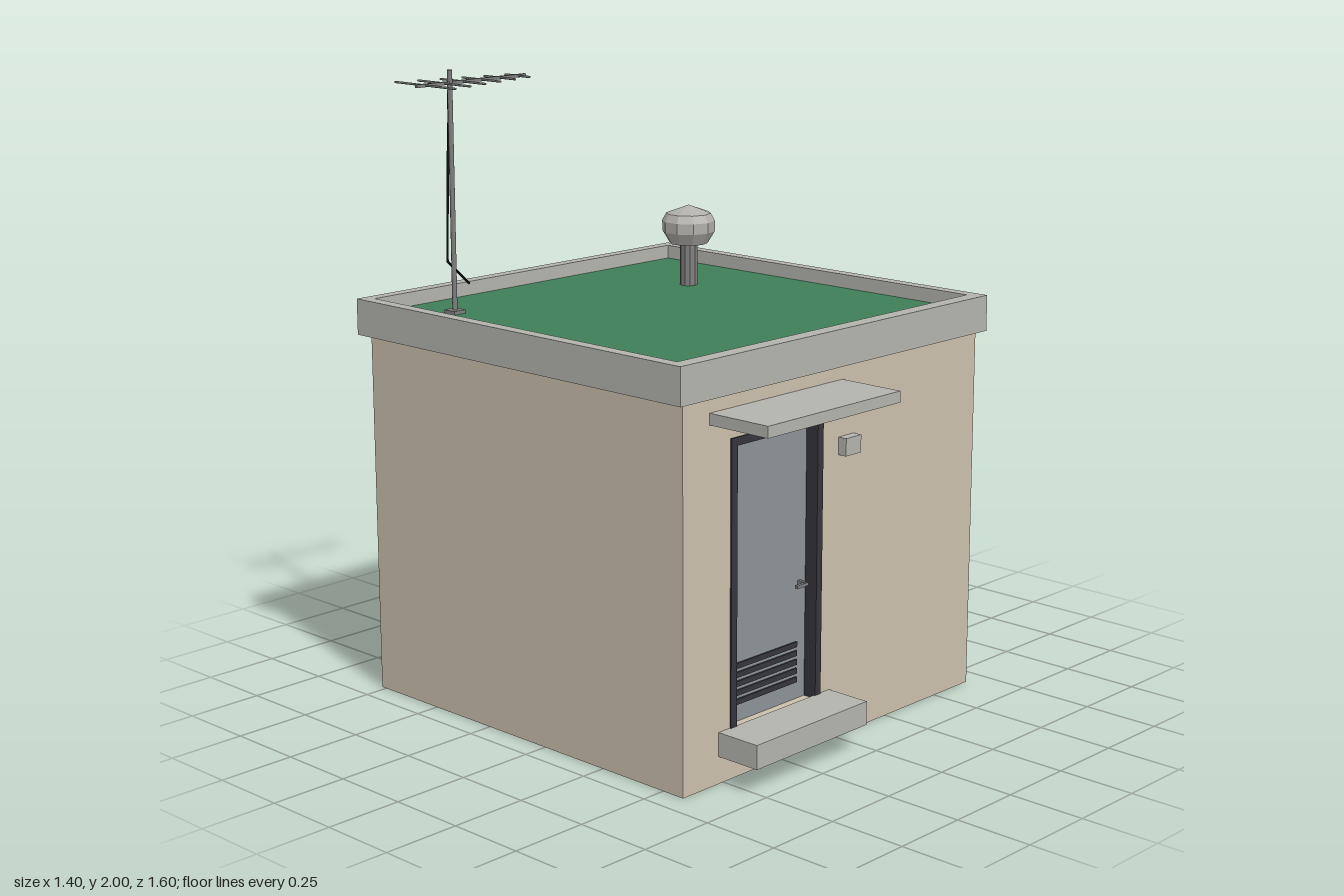
import * as THREE from 'three';

const mat = (name, color, side = THREE.FrontSide) => {
  const m = new THREE.MeshStandardMaterial({ color, side });
  m.name = name;
  return m;
};

export function createModel() {
  const beige = mat('beige wall paint', 0xcbc0ac);
  const concrete = mat('concrete', 0xb4b4ae, THREE.DoubleSide);
  const green = mat('green roofing', 0x3f7f57);
  const dark = mat('dark frame', 0x35353c);
  const doorGrey = mat('door grey', 0x8d9397);
  const iron = mat('window iron', 0x474f54);
  const steel = mat('galvanised steel', 0x7f7f80);
  const cowlGrey = mat('vent cowl', 0xb2b0ab);
  const black = mat('cable black', 0x111111);
  const model = new THREE.Group();
  model.name = 'rooftopHut';

  const add = (name, geo, material, parent = model) => {
    const m = new THREE.Mesh(geo, material);
    m.name = name;
    parent.add(m);
    return m;
  };
  // Box given by its lower and upper corner
  const box = (name, a, b, material, parent) => {
    const m = add(name, new THREE.BoxGeometry(b[0] - a[0], b[1] - a[1], b[2] - a[2]), material, parent);
    m.position.set((a[0] + b[0]) / 2, (a[1] + b[1]) / 2, (a[2] + b[2]) / 2);
    return m;
  };
  const group = (name) => {
    const g = new THREE.Group();
    g.name = name;
    model.add(g);
    return g;
  };
  const rect = (C, x0, y0, x1, y1) => {
    const s = new C();
    s.moveTo(x0, y0); s.lineTo(x1, y0); s.lineTo(x1, y1); s.lineTo(x0, y1); s.closePath();
    return s;
  };

  // Walls: painted slab with a plastered inner face, turned to its side of the hut
  const T = 0.1;
  const wall = (name, u0, u1, dist, turn, hole) => {
    const g = group(name);
    const shape = rect(THREE.Shape, u0, 0, u1, 1.17);
    if (hole) shape.holes.push(rect(THREE.Path, ...hole));
    add(name + 'Slab', new THREE.ExtrudeGeometry(shape, { depth: T, bevelEnabled: false }), beige, g)
      .position.z = dist - T;
    add(name + 'Plaster', new THREE.ShapeGeometry(shape), concrete, g).position.z = dist - T - 0.003;
    g.rotation.y = turn;
  };
  wall('frontWall', -0.67, 0.67, 0.58, 0, [-0.47, 0.15, -0.07, 1.03]);
  wall('backWall', -0.67, 0.67, 0.77, Math.PI);
  wall('rightWall', -0.48, 0.67, 0.67, Math.PI / 2, [-0.05, 0.68, 0.25, 0.96]);
  wall('leftWall', -0.67, 0.48, 0.67, -Math.PI / 2);

  // Roof slab, green covering and parapet
  const rim = rect(THREE.Shape, -0.7, -0.6, 0.7, 0.8);
  rim.holes.push(rect(THREE.Path, -0.66, -0.55, 0.66, 0.76));
  const parapet = add('parapet', new THREE.ExtrudeGeometry(rim, { depth: 0.115, bevelEnabled: false }), concrete);
  parapet.rotation.x = -Math.PI / 2;
  parapet.position.y = 1.17;
  box('roofSlab', [-0.66, 1.17, -0.76], [0.66, 1.234, 0.55], concrete);
  box('roofCovering', [-0.66, 1.234, -0.76], [0.66, 1.24, 0.55], green);

  // Canopy, doorstep and small wall box
  box('canopy', [-0.56, 1.09, 0.58], [0.02, 1.125, 0.8], concrete);
  box('doorstep', [-0.52, 0.085, 0.58], [-0.025, 0.16, 0.73], concrete);
  box('junctionBox', [0.005, 0.895, 0.58], [0.075, 0.95, 0.61], concrete);

  // Door with frame, louvres and handle
  const door = group('door');
  box('jambLeft', [-0.095, 0.15, 0.475], [-0.07, 1.035, 0.585], dark, door);
  box('jambRight', [-0.472, 0.15, 0.475], [-0.447, 1.035, 0.585], dark, door);
  box('doorHead', [-0.447, 1.01, 0.475], [-0.095, 1.035, 0.585], dark, door);
  box('doorLeaf', [-0.447, 0.15, 0.49], [-0.095, 1.01, 0.54], doorGrey, door);
  for (let i = 0; i < 5; i++) {
    const y = 0.204 + i * 0.028;
    box('louvre', [-0.405, y, 0.54], [-0.135, y + 0.017, 0.546], dark, door);
  }
  box('handleStem', [-0.13, 0.508, 0.54], [-0.118, 0.524, 0.565], steel, door);
  box('handleLever', [-0.165, 0.511, 0.56], [-0.115, 0.521, 0.57], steel, door);

  // Window: recessed pane and sash, iron grille and sill
  const win = group('window');
  box('pane', [0.6, 0.68, -0.25], [0.61, 0.96, 0.05], concrete, win);
  box('sash', [0.61, 0.68, -0.215], [0.616, 0.93, 0.02], concrete, win);
  box('latch', [0.616, 0.9, -0.11], [0.625, 0.915, -0.085], iron, win);
  for (const y of [0.68, 0.814, 0.945]) {
    box('grilleRail', [0.662, y, -0.25], [0.682, y + 0.015, 0.05], iron, win);
  }
  for (const z of [-0.25, 0.037]) {
    box('grilleStile', [0.662, 0.68, z], [0.684, 0.96, z + 0.013], iron, win);
  }
  for (let i = 1; i <= 5; i++) {
    const bar = add('grilleBar', new THREE.CylinderGeometry(0.005, 0.005, 0.27, 6), iron, win);
    bar.position.set(0.672, 0.82, -0.245 + i * 0.0483);
  }
  box('sill', [0.61, 0.655, -0.255], [0.692, 0.68, 0.065], concrete, win);

  // Roof vent: pipe and faceted cowl
  const vent = group('roofVent');
  vent.position.set(0.355, 0, -0.37);
  const flat = (g) => {
    const n = g.toNonIndexed();
    n.computeVertexNormals();
    return n;
  };
  add('ventPipe', flat(new THREE.CylinderGeometry(0.029, 0.029, 0.15, 10)), steel, vent).position.y = 1.312;
  const profile = [[0, 1.38], [0.063, 1.38], [0.087, 1.42], [0.088, 1.455], [0.074, 1.48], [0, 1.507]]
    .map((p) => new THREE.Vector2(...p));
  add('ventCowl', flat(new THREE.LatheGeometry(profile, 10)), cowlGrey, vent);

  // Aerial: mast on a foot plate, boom and tapering cross rods
  const aerial = group('aerial');
  box('footPlate', [-0.518, 1.24, -0.595], [-0.472, 1.252, -0.548], steel, aerial);
  add('mast', new THREE.CylinderGeometry(0.008, 0.008, 0.76, 8), steel, aerial).position.set(-0.495, 1.62, -0.571);
  box('boom', [-0.63, 1.955, -0.576], [-0.182, 1.965, -0.566], steel, aerial);
  [0.14, 0.122, 0.105, 0.089, 0.072, 0.057].forEach((half, i) => {
    const rod = add('crossRod', new THREE.CylinderGeometry(0.0035, 0.0035, half * 2, 6), steel, aerial);
    rod.rotation.x = Math.PI / 2;
    rod.position.set(-0.594 + i * 0.076, 1.96, -0.571);
  });

  // Slack cable from the mast to the rear parapet
  const points = [[-0.495, 1.94, -0.578], [-0.488, 1.85, -0.588], [-0.473, 1.69, -0.615],
    [-0.405, 1.375, -0.705], [-0.27, 1.28, -0.757]].map((p) => new THREE.Vector3(...p));
  const path = new THREE.CurvePath();
  for (let i = 1; i < points.length; i++) path.add(new THREE.LineCurve3(points[i - 1], points[i]));
  add('cable', new THREE.TubeGeometry(path, 40, 0.004, 5), black, aerial);

  return model;
}
